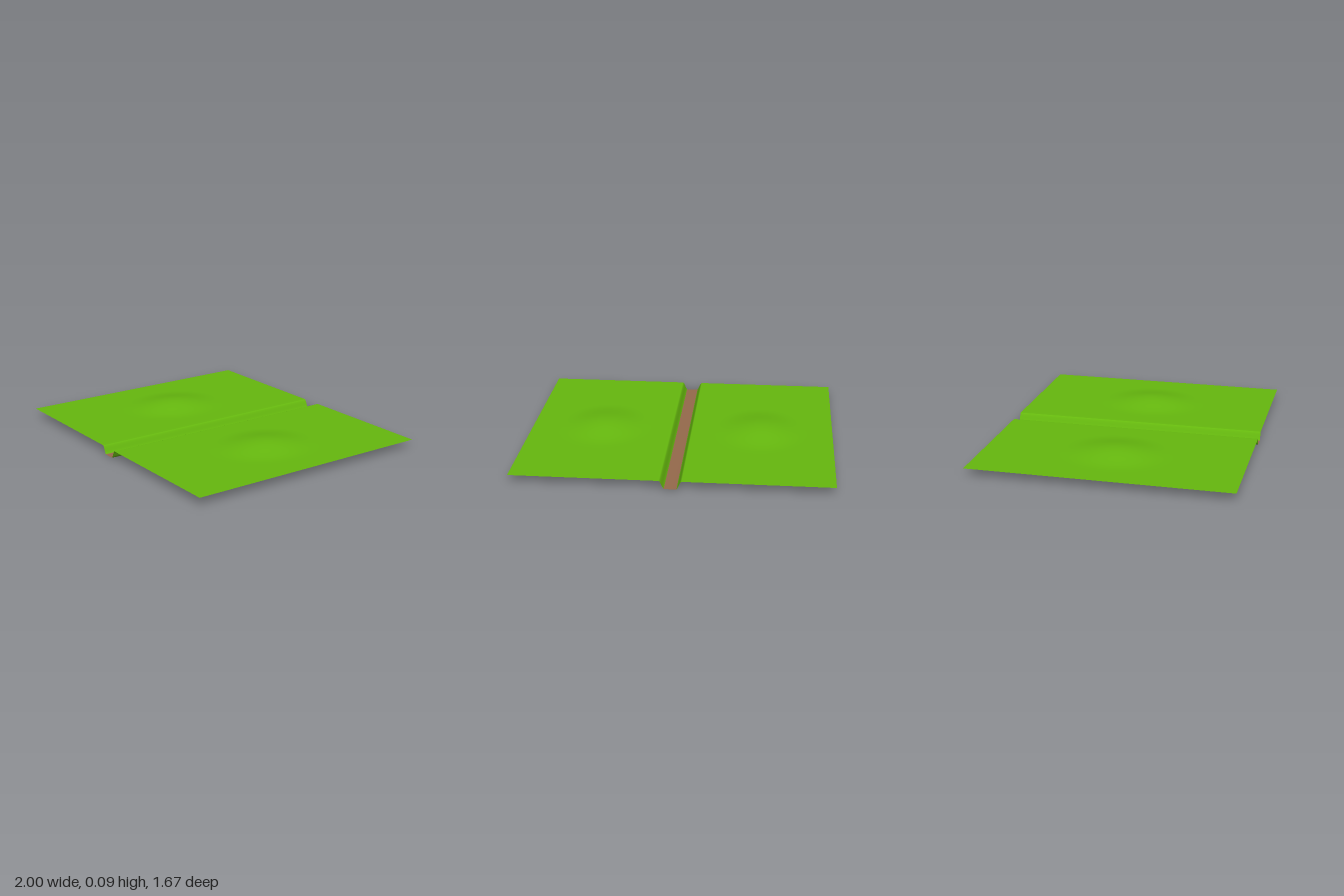
import * as THREE from 'three';

const HALF_Z = 0.835, GROUND = 0.053;
const BED = 0.035, BANK = 0.07, EDGE = 0.039;

// Surface height: flat ground, S-shaped banks down to a channel, one mound per side
function height(x, z) {
  const ax = Math.abs(x);
  const bank = THREE.MathUtils.smoothstep(ax, BED, BANK);
  const r = Math.min(1, Math.hypot((ax - 0.52) / 0.31, z / 0.365));
  return GROUND * bank + 0.035 * 0.5 * (1 + Math.cos(Math.PI * r));
}

// Sheet over the given x columns, lifted to the surface height
function sheet(name, columns, rows, material) {
  const geometry = new THREE.PlaneGeometry(1, 2 * HALF_Z, columns.length - 1, rows);
  geometry.rotateX(-Math.PI / 2);
  const p = geometry.attributes.position;
  for (let i = 0; i < p.count; i++) {
    const x = columns[i % columns.length];
    p.setX(i, x);
    p.setY(i, height(x, p.getZ(i)));
  }
  geometry.computeVertexNormals();
  const mesh = new THREE.Mesh(geometry, material);
  mesh.name = name;
  return mesh;
}

const range = (a, b, n) => Array.from({ length: n + 1 }, (_, i) => a + (b - a) * i / n);

export function createModel() {
  const grass = new THREE.MeshStandardMaterial({ color: 0x66b90e, side: THREE.DoubleSide });
  grass.name = 'grass green';
  const earth = new THREE.MeshStandardMaterial({ color: 0x966a4c, side: THREE.DoubleSide });
  earth.name = 'earth brown';

  const group = new THREE.Group();
  group.name = 'fieldWithDitch';

  // Grass halves: fine columns on the bank, wider ones across the field
  const left = [...range(EDGE, BANK, 10), ...range(BANK, 1, 40).slice(1)];
  const right = left.map(x => -x).reverse();
  group.add(sheet('leftField', left, 64, grass));
  group.add(sheet('rightField', right, 64, grass));

  // Earth bed of the channel
  group.add(sheet('ditchBed', [-EDGE, -BED, 0, BED, EDGE], 1, earth));
  return group;
}
